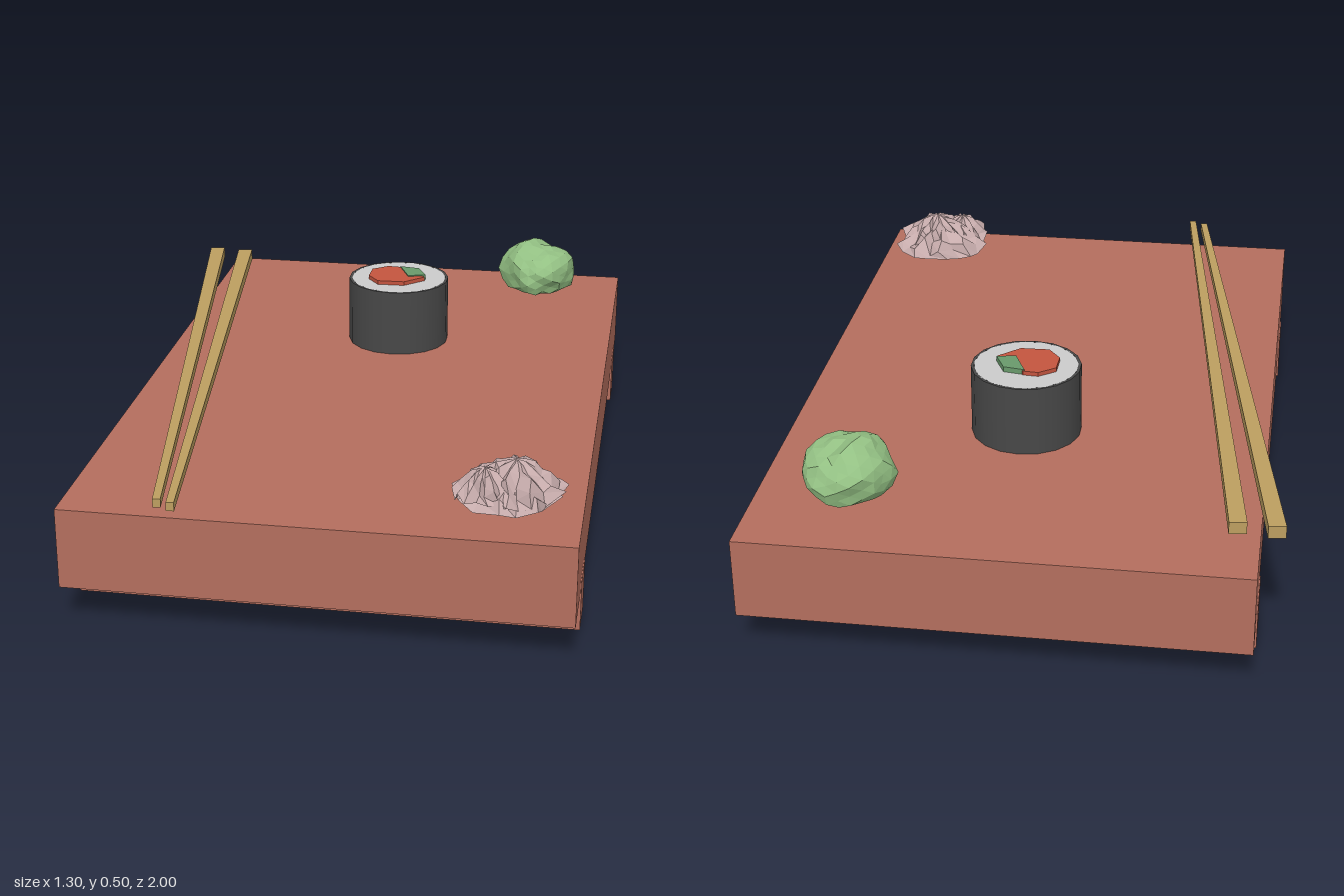
import * as THREE from 'three';
import { mergeVertices } from 'three/addons/utils/BufferGeometryUtils.js';

const mat = (color, flat = true) =>
  new THREE.MeshStandardMaterial({ color, flatShading: flat, side: THREE.DoubleSide });

function add(parent, name, geometry, material, x = 0, y = 0, z = 0) {
  const mesh = new THREE.Mesh(geometry, material);
  mesh.name = name;
  mesh.position.set(x, y, z);
  parent.add(mesh);
  return mesh;
}

// small seeded number generator, -1..1
function seeded(seed) {
  let s = seed;
  return () => {
    s = (s * 16807) % 2147483647;
    return (s / 2147483647) * 2 - 1;
  };
}

// flat plate from x,z outline points
function plate(points, height) {
  const shape = new THREE.Shape(points.map(([x, z]) => new THREE.Vector2(x, -z)));
  return new THREE.ExtrudeGeometry(shape, { depth: height, bevelEnabled: false }).rotateX(-Math.PI / 2);
}

// tapered square stick resting on one level, thick end at the back
function stick([x0, z0], [x1, z1]) {
  const length = Math.hypot(x1 - x0, z1 - z0);
  const geo = new THREE.BoxGeometry(1, 1, length);
  const p = geo.attributes.position;
  for (let i = 0; i < p.count; i++) {
    const front = p.getZ(i) > 0;
    p.setX(i, p.getX(i) * (front ? 0.019 : 0.043));
    p.setY(i, (p.getY(i) + 0.5) * (front ? 0.022 : 0.032));
  }
  geo.rotateY(Math.atan2(x1 - x0, z1 - z0));
  geo.translate((x0 + x1) / 2, 0.345, (z0 + z1) / 2);
  geo.computeVertexNormals();
  return geo;
}

// lumpy dome with a flat base
function pasteLump() {
  const rand = seeded(71);
  let geo = new THREE.IcosahedronGeometry(1, 3);
  geo.deleteAttribute('normal');
  geo.deleteAttribute('uv');
  geo = mergeVertices(geo, 1e-4);
  const p = geo.attributes.position;
  const v = new THREE.Vector3();
  for (let i = 0; i < p.count; i++) {
    v.fromBufferAttribute(p, i);
    const lump = 0.95 + 0.05 * Math.sin(5 * v.x + 3 * v.z) * Math.cos(4 * v.y + 2 * v.z) + 0.04 * rand();
    const crease = v.y > 0 ? 0.16 * Math.exp(-(((v.x - 0.1 + 0.2 * v.z) / 0.14) ** 2)) * v.y : 0;
    const narrow = v.z > 0 ? 1 - 0.22 * v.z : 1;
    const up = v.y * lump * (1 - 0.12 * v.x) - crease;
    p.setXYZ(i, v.x * lump * 0.12 * narrow, Math.max(0, 0.048 + up * 0.094), v.z * lump * 0.127);
  }
  geo.computeVertexNormals();
  return geo;
}

// crumpled slice: rings of a low dome with pleats and a ragged rim
function crumpledSlice(seed, radius, height, lift) {
  const rand = seeded(seed);
  const around = 18, rings = 5;
  const pos = [0, height + lift, 0], index = [];
  for (let r = 1; r <= rings; r++) {
    const t = r / rings;
    for (let i = 0; i < around; i++) {
      const a = ((i + 0.35 * rand()) / around) * Math.PI * 2;
      const pleat = i % 2 ? 1 : -1;
      const rad = radius * t * (0.93 + 0.06 * pleat + 0.1 * rand());
      const y = height * (1 - t ** 1.7) + height * t * (0.16 * pleat + 0.15 * rand());
      pos.push(Math.cos(a) * rad, Math.max(0, y + lift), Math.sin(a) * rad);
      const j = (i + 1) % around, row = 1 + (r - 1) * around, prev = row - around;
      if (r === 1) index.push(0, row + j, row + i);
      else index.push(prev + i, prev + j, row + i, prev + j, row + j, row + i);
    }
  }
  const geo = new THREE.BufferGeometry();
  geo.setAttribute('position', new THREE.Float32BufferAttribute(pos, 3));
  geo.setIndex(index);
  geo.computeVertexNormals();
  return geo;
}

export function createModel() {
  const model = new THREE.Group();
  model.name = 'sushiBoard';

  // serving board on two cross feet
  const wood = mat(0xb46e5e);
  const board = new THREE.Group();
  board.name = 'board';
  model.add(board);
  add(board, 'boardTop', new THREE.BoxGeometry(1.242, 0.207, 1.95), wood, 0.027, 0.2015, -0.025);
  for (const [name, z] of [['frontFoot', 0.72], ['backFoot', -0.767]])
    add(board, name, new THREE.BoxGeometry(1.248, 0.132, 0.118), wood, 0.027, 0.066, z);

  // chopsticks
  const bamboo = mat(0xbd9f60);
  add(model, 'leftChopstick', stick([-0.54, -0.87], [-0.297, 0.995]), bamboo);
  add(model, 'rightChopstick', stick([-0.632, -0.877], [-0.333, 0.98]), bamboo);

  // sushi roll: seaweed wrap, rice and fillings
  const roll = new THREE.Group();
  roll.name = 'sushiRoll';
  roll.position.set(0.037, 0.305, -0.345);
  model.add(roll);
  const wrap = [[0, 0], [0.143, 0], [0.143, 0], [0.143, 0.185], [0.143, 0.185], [0.135, 0.185]];
  add(roll, 'seaweedWrap', new THREE.LatheGeometry(wrap.map(([x, y]) => new THREE.Vector2(x, y)), 18), mat(0x484848, false));
  add(roll, 'rice', new THREE.CircleGeometry(0.136, 18).rotateX(-Math.PI / 2), mat(0xcccccc), 0, 0.185, 0);
  add(roll, 'fishFilling', plate([[-0.082, -0.03], [-0.04, -0.063], [0, -0.06], [0.03, -0.02], [0.078, 0.02],
    [0.025, 0.072], [-0.05, 0.074], [-0.083, 0.03]], 0.012), mat(0xc4553f), 0, 0.184, 0);
  add(roll, 'cucumberFilling', plate([[-0.004, -0.058], [0.052, -0.048], [0.079, 0.01], [0.03, 0.022]], 0.015),
    mat(0x699a6c), 0, 0.184, 0);

  // wasabi and pickled ginger
  add(model, 'wasabi', pasteLump(), mat(0x93c083), 0.41, 0.345, -0.772);
  const ginger = new THREE.Group();
  ginger.name = 'pickledGinger';
  ginger.position.set(0.47, 0.34, 0.755);
  model.add(ginger);
  const pink = mat(0xc6abab);
  const slices = [[17, 0.15, 0.075, 0, 0, 0.005], [53, 0.115, 0.085, 0.012, 0.015, 0.015],
    [97, 0.08, 0.065, 0.02, -0.055, 0.05]];
  slices.forEach(([seed, radius, height, lift, x, z], i) =>
    add(ginger, 'gingerSlice' + (i + 1), crumpledSlice(seed, radius, height, lift), pink, x, 0, z));

  return model;
}
